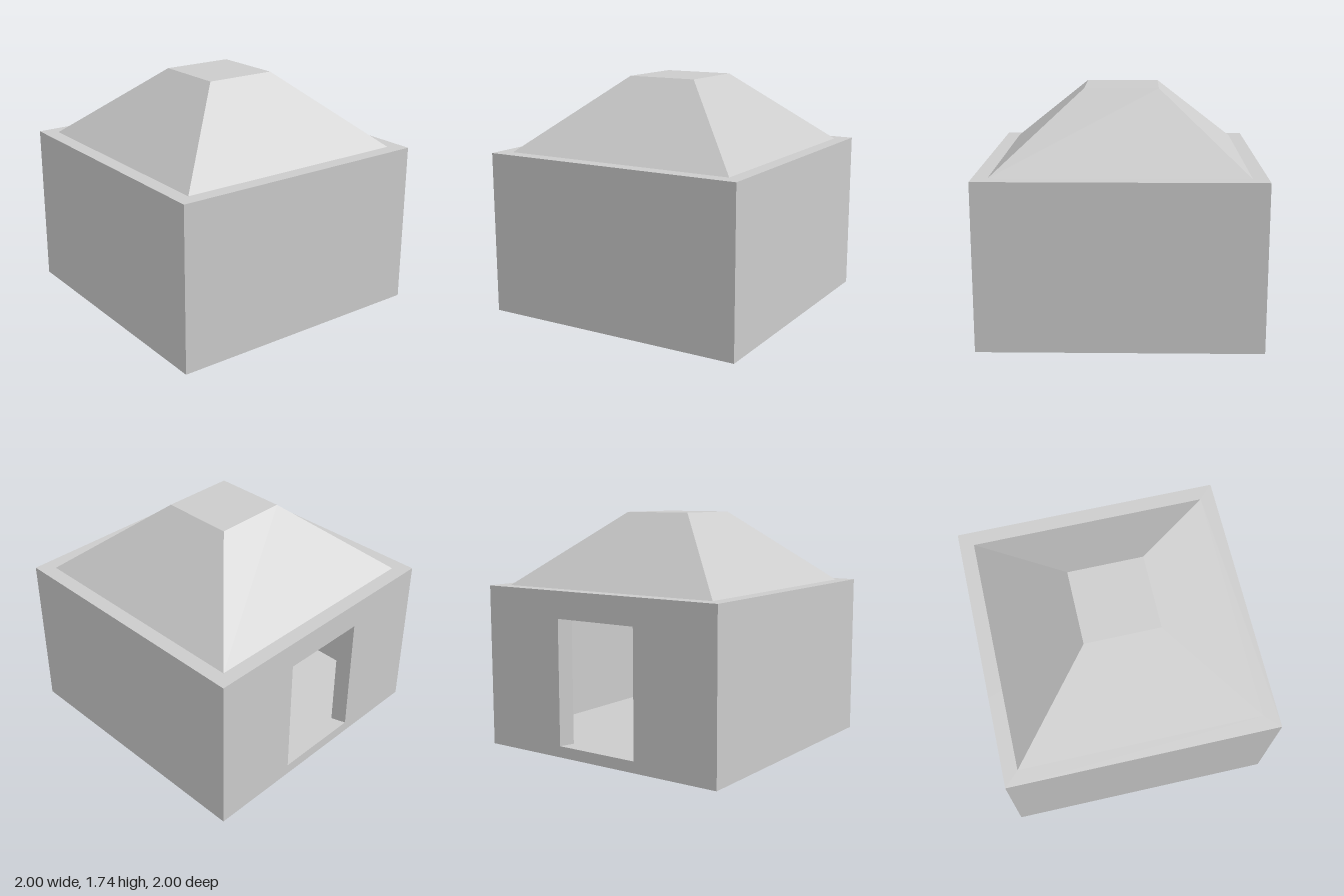
import * as THREE from 'three';

const HALF = 1;          // outer half width of the house
const INNER = 0.893;     // inner half width, also the roof base
const FLOOR = 0.083;     // floor slab thickness
const WALL_TOP = 1.203;
const ROOF_TOP = 1.74;
const DOOR_TOP = 1.005;
const DOOR = 0.333;      // half width of the doorway on the outside
const DOOR_IN = DOOR * INNER; // the jambs taper inwards

export function createModel() {
  const group = new THREE.Group();
  const material = new THREE.MeshStandardMaterial({ color: 0xcccccc, flatShading: true });

  const add = (name, geometry) => {
    const mesh = new THREE.Mesh(geometry, material);
    mesh.name = name;
    group.add(mesh);
  };

  // Raises a floor-plan outline (x, distance to the back) from one height to another
  const raise = (outline, from, to) => {
    const shape = new THREE.Shape(outline.map(([x, y]) => new THREE.Vector2(x, y)));
    return new THREE.ExtrudeGeometry(shape, { depth: to - from, bevelEnabled: false })
      .rotateX(-Math.PI / 2)
      .translate(0, from, 0);
  };

  // Floor slab
  add('floor', new THREE.BoxGeometry(2 * HALF, FLOOR, 2 * HALF).translate(0, FLOOR / 2, 0));

  // Four walls in one outline, open at the doorway in the back
  const halfPlan = [[DOOR_IN, INNER], [DOOR, HALF], [HALF, HALF], [HALF, -HALF]];
  const innerPlan = [[-INNER, INNER], [-INNER, -INNER], [INNER, -INNER], [INNER, INNER]];
  const mirrored = halfPlan.map(([x, y]) => [-x, y]).reverse();
  add('walls', raise([...halfPlan, ...mirrored, ...innerPlan], FLOOR, WALL_TOP));

  // Lintel over the doorway
  add('doorLintel', raise(
    [[-DOOR, HALF], [-DOOR_IN, INNER], [DOOR_IN, INNER], [DOOR, HALF]], DOOR_TOP, WALL_TOP));

  // Hipped roof with a flat top; its underside is the ceiling
  const roofHeight = ROOF_TOP - WALL_TOP;
  add('roof', new THREE.CylinderGeometry(0.27 * Math.SQRT2, INNER * Math.SQRT2, roofHeight, 4)
    .rotateY(Math.PI / 4)
    .translate(0, WALL_TOP + roofHeight / 2, 0));

  return group;
}
